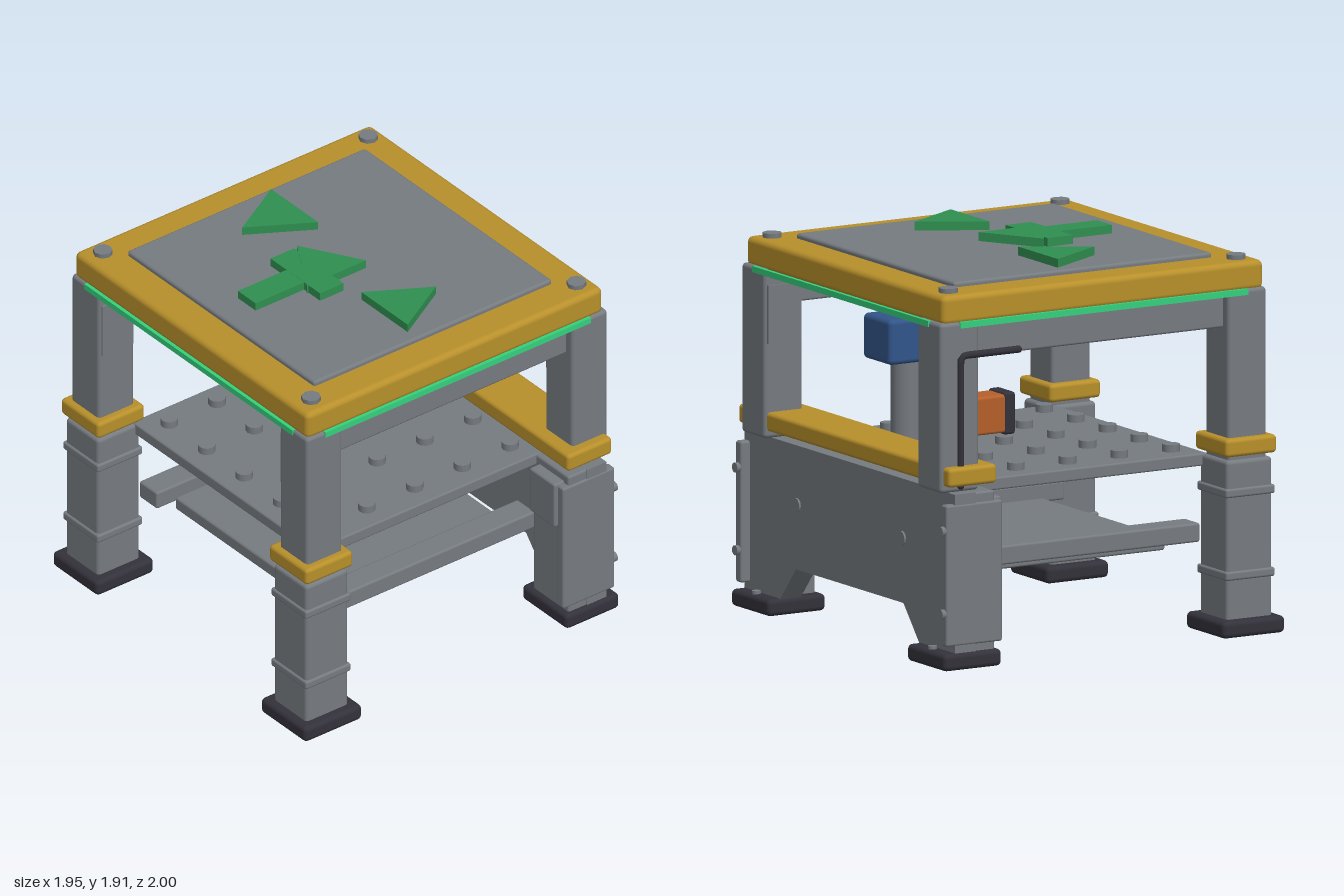
import * as THREE from 'three';
import { RoundedBoxGeometry } from 'three/addons/geometries/RoundedBoxGeometry.js';

const mat = (name, color) => {
  const m = new THREE.MeshStandardMaterial({ color });
  m.name = name;
  return m;
};

export function createModel() {
  const model = new THREE.Group();
  model.name = 'workstation';
  const grey = mat('steel grey', 0x767b80);
  const yellow = mat('safety yellow', 0xb8902b);
  const dark = mat('black rubber', 0x33313a);
  const green = mat('sign green', 0x2f8f50);
  const bright = mat('light strip green', 0x35d07c);
  const blue = mat('blue', 0x32558a);
  const orange = mat('orange', 0xb5602b);

  const add = (name, geo, material) => {
    const mesh = new THREE.Mesh(geo, material);
    mesh.name = name;
    model.add(mesh);
    return mesh;
  };
  // box given by its extents, with softened edges when r > 0
  const box = (name, material, [x0, x1], [y0, y1], [z0, z1], r = 0.012) => {
    const s = [x1 - x0, y1 - y0, z1 - z0];
    const geo = r ? new RoundedBoxGeometry(...s, 2, r) : new THREE.BoxGeometry(...s);
    add(name, geo, material).position.set((x0 + x1) / 2, (y0 + y1) / 2, (z0 + z1) / 2);
  };
  // upright disc or column
  const disc = (name, material, r, x, z, y0, y1, sides = 12) => {
    add(name, new THREE.CylinderGeometry(r, r, y1 - y0, sides), material).position.set(x, (y0 + y1) / 2, z);
  };
  // rivet pointing sideways along x
  const rivet = (name, r, x0, x1, y, z) => {
    const m = add(name, new THREE.CylinderGeometry(r, r, x1 - x0, 12), grey);
    m.rotation.z = Math.PI / 2;
    m.position.set((x0 + x1) / 2, y, z);
  };
  // extent centred on c
  const around = (c, w) => [c - w / 2, c + w / 2];

  // feet, legs, posts and collars
  for (const s of [-1, 1]) {
    const z = 0.82 * s;
    box('leftFoot', dark, [-0.975, -0.62], [0, 0.085], around(z, 0.36), 0.025);
    box('rightFoot', dark, [0.64, 0.97], [0, 0.085], around(z, 0.36), 0.025);
    box('leftLeg', grey, [-0.93, -0.67], [0.06, 0.87], around(z, 0.26), 0.02);
    for (const y of [0.3, 0.71]) box('legBand', grey, [-0.94, -0.66], around(y, 0.045), around(z, 0.28));
    box('leftCollar', yellow, [-0.945, -0.655], [0.89, 0.98], around(z, 0.3), 0.02);
    box('leftPost', grey, [-0.91, -0.69], [0.85, 1.71], around(z, 0.22), 0.02);
    box('rightPost', grey, [0.73, 0.95], [0.87, 1.71], around(z, 0.22), 0.02);
    box('rightLeg', grey, [0.67, 0.9], [0.07, 0.87], around(0.835 * s, 0.28));
    box('legEndPlate', grey, [0.63, 0.95], [0.12, 0.82], around(0.957 * s, 0.054));
    box('legBracket', grey, [0.61, 0.69], [0.58, 0.83], around(0.84 * s, 0.2));
    disc('footBolt', grey, 0.022, 0.93, z, 0.08, 0.1);
    for (const y of [0.28, 0.69]) rivet('plateRivet', 0.025, 0.94, 0.97, y, 0.957 * s);
    rivet('panelBolt', 0.036, 0.89, 0.91, 0.575, 0.49 * s);

    // plates on the inner faces of the posts
    for (const x of [-0.8, 0.84]) {
      box('postPlate', grey, around(x, 0.19), [1.34, 1.63], around(0.707 * s, 0.014), 0);
      disc('cornerBolt', grey, 0.048, x, z, 1.83, 1.865, 8);
    }
    box('topBeam', grey, [-0.7, 0.74], [1.52, 1.69], around(0.82 * s, 0.12));
    box('shelfBar', grey, [-0.67, 0.68], [0.43, 0.525], around(0.63 * s, 0.14));
    box('lightStripX', bright, [-0.8, 0.84], [1.68, 1.71], around(0.925 * s, 0.02), 0);
    box('lightStripZ', bright, around(0.02 + 0.925 * s, 0.02), [1.68, 1.71], [-0.82, 0.82], 0);
  }

  // arched side panel, drawn in z and y then turned to face +x
  const arch = new THREE.Shape([
    [-0.98, 0.08], [-0.65, 0.08], [-0.5, 0.255], [0.5, 0.255],
    [0.65, 0.08], [0.98, 0.08], [0.98, 0.87], [-0.98, 0.87],
  ].map(([z, y]) => new THREE.Vector2(z, y)));
  const panelGeo = new THREE.ExtrudeGeometry(arch, { depth: 0.12, bevelEnabled: false });
  const panel = add('sidePanel', panelGeo, grey);
  panel.rotation.y = Math.PI / 2;
  panel.position.x = 0.78;
  box('sideRail', yellow, [0.66, 0.935], [0.905, 1], [-0.985, 0.985], 0.02);

  // studded deck and lower shelf
  box('deck', grey, [-0.7, 0.8], [0.81, 0.873], [-0.72, 0.72], 0.01);
  for (let i = -2; i <= 2; i++) {
    for (let j = -2; j <= 2; j++) disc('deckStud', grey, 0.043, 0.02 + 0.295 * i, 0.295 * j, 0.86, 0.91);
  }
  box('shelf', grey, [-0.55, 0.59], [0.38, 0.45], [-0.57, 0.57]);

  // machine on the deck
  disc('column', grey, 0.078, 0.575, 0, 0.87, 1.37, 20);
  box('columnHead', blue, [0.4, 0.75], [1.35, 1.575], [-0.13, 0.13], 0.025);
  box('arm', orange, [0.05, 0.53], [0.94, 1.13], [-0.075, 0.075], 0.015);
  box('armCap', dark, [0, 0.065], [0.93, 1.14], [-0.078, 0.078], 0.015);

  // cable on the back of the right post
  const cable = new THREE.CurvePath();
  const p = [[0.84, 0.9], [0.84, 1.51], [0.84, 1.545], [0.805, 1.545], [0.51, 1.545]]
    .map(([x, y]) => new THREE.Vector3(x, y, -0.935));
  cable.add(new THREE.LineCurve3(p[0], p[1]));
  cable.add(new THREE.QuadraticBezierCurve3(p[1], p[2], p[3]));
  cable.add(new THREE.LineCurve3(p[3], p[4]));
  add('cable', new THREE.TubeGeometry(cable, 40, 0.018, 8), dark);
  for (const q of [p[0], p[4]]) add('cableEnd', new THREE.SphereGeometry(0.018, 8, 6), dark).position.copy(q);

  // roof slab and top plate
  box('roof', yellow, [-0.9, 0.93], [1.695, 1.842], [-0.92, 0.92], 0.03);
  box('topPlate', grey, [-0.715, 0.755], [1.8, 1.867], [-0.738, 0.738], 0.015);

  // raised direction signs, outlines in x and z
  const sign = (name, pts, top) => {
    const shape = new THREE.Shape(pts.map(([x, z]) => new THREE.Vector2(x, -z)));
    const m = add(name, new THREE.ExtrudeGeometry(shape, { depth: top - 1.866, bevelEnabled: false }), green);
    m.rotation.x = -Math.PI / 2;
    m.position.y = 1.866;
  };
  sign('backTriangle', [[-0.19, -0.5], [0.13, -0.68], [0.13, -0.31]], 1.91);
  sign('frontTriangle', [[0.23, 0.49], [-0.085, 0.305], [-0.085, 0.67]], 1.91);
  sign('arrowShaft', [[-0.55, -0.075], [-0.1, -0.075], [-0.1, 0.065], [-0.55, 0.065]], 1.909);
  sign('arrowBar', [[-0.25, -0.2], [-0.105, -0.2], [-0.105, 0.19], [-0.25, 0.19]], 1.91);
  sign('arrowHead', [[-0.08, -0.21], [0.105, 0.1], [-0.26, 0.1]], 1.911);

  return model;
}
